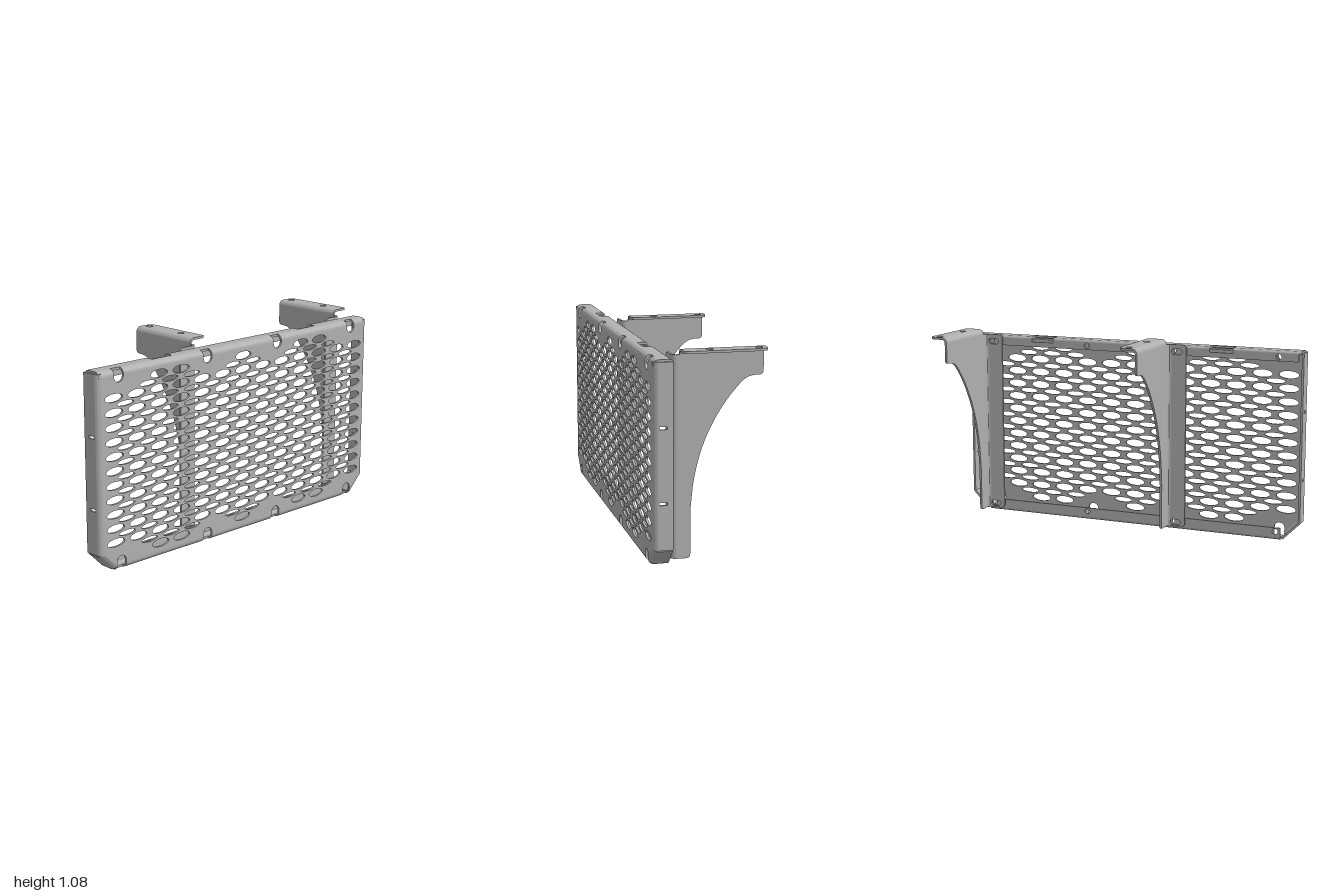
import * as THREE from 'three';
import { mergeGeometries, toCreasedNormals } from 'three/addons/utils/BufferGeometryUtils.js';

const T = 0.012; // sheet thickness
const SCREWS = [-0.86, -0.26, 0.26, 0.86];

function extrude(shape, depth) {
  return new THREE.ExtrudeGeometry(shape, { depth, bevelEnabled: false, curveSegments: 10 });
}

function rect(x0, y0, x1, y1) {
  return new THREE.Shape([[x0, y0], [x1, y0], [x1, y1], [x0, y1]].map(p => new THREE.Vector2(...p)));
}

// Rectangle with a rounding radius per corner: bottom left, bottom right, top right, top left
function roundRect(x0, y0, x1, y1, [a, b, c, d]) {
  const s = new THREE.Shape();
  s.moveTo(x0 + a, y0);
  s.lineTo(x1 - b, y0);
  s.quadraticCurveTo(x1, y0, x1, y0 + b);
  s.lineTo(x1, y1 - c);
  s.quadraticCurveTo(x1, y1, x1 - c, y1);
  s.lineTo(x0 + d, y1);
  s.quadraticCurveTo(x0, y1, x0, y1 - d);
  s.lineTo(x0, y0 + a);
  s.quadraticCurveTo(x0, y0, x0 + a, y0);
  return s;
}

// Quarter ring section of a sheet bend
function bend(cx, cy, r, a0) {
  const s = new THREE.Shape();
  s.absarc(cx, cy, r, a0, a0 + Math.PI / 2, false);
  s.absarc(cx, cy, r - T, a0 + Math.PI / 2, a0, true);
  s.closePath();
  return s;
}

function ellipse(x, y, rx, ry) {
  const p = new THREE.Path();
  p.absellipse(x, y, rx, ry, 0, Math.PI * 2, true);
  return p;
}

// Front sheet with screw notches and staggered oval perforation
function grilleGeometry() {
  const s = new THREE.Shape();
  s.moveTo(-0.97, 1.01);
  s.lineTo(-0.97, 0.112);
  s.lineTo(-0.888, 0.03);
  for (const x of SCREWS) {
    s.lineTo(x - 0.03, 0.03);
    s.absarc(x, 0.045, 0.03, Math.PI, 0, true);
    s.lineTo(x + 0.03, 0.03);
  }
  s.lineTo(0.888, 0.03);
  s.lineTo(0.97, 0.112);
  s.lineTo(0.97, 1.01);
  for (const x of [...SCREWS].reverse()) {
    s.lineTo(x + 0.03, 1.01);
    s.absarc(x, 1.003, 0.03, 0, Math.PI, true);
    s.lineTo(x - 0.03, 1.01);
  }
  s.closePath();
  const clear = (x, d) => SCREWS.every(sx => Math.abs(x - sx) > d);
  for (let r = -6; r <= 6; r++) for (let k = -6; k <= 6; k++) {
    const x = k * 0.149, y = 0.525 + r * 0.0747;
    if (Math.abs(r) < 6 || clear(x, 0.16)) s.holes.push(ellipse(x, y, 0.057, 0.021));
    const x2 = x + 0.0745, y2 = y + 0.0373;
    if (r < 6 && k < 6 && ((r > -6 && r < 5) || clear(x2, 0.1)))
      s.holes.push(ellipse(x2, y2, 0.054, 0.0135));
  }
  return extrude(s, T).translate(0, 0, 0.278);
}

// Folded border running along one edge; cuts are [from, to, zLow, zHigh] openings
function edgeGeometry(nx, ny, mx, my, length, cuts, lip) {
  const half = length / 2, parts = [];
  const add = (shape, a, b) => parts.push(extrude(shape, b - a).translate(0, 0, a));
  const stops = [-half, half, ...cuts.flatMap(c => [c[0], c[1]])].sort((a, b) => a - b);
  for (let i = 0; i < stops.length - 1; i++) {
    const a = stops[i], b = stops[i + 1], m = (a + b) / 2;
    const cut = cuts.find(c => m > c[0] && m < c[1]) || [0, 0, 9, 9];
    const open = z => z > cut[2] && z < cut[3];
    const start = lip ? 0.205 : 0.19;
    if (!open(0.275)) add(bend(-0.03, 0.26, 0.03, 0), a, b);
    if (lip && !open(0.197)) add(bend(-0.015, 0.205, 0.015, -Math.PI / 2), a, b);
    const low = Math.min(cut[2], 0.26), high = Math.max(cut[3], start);
    if (low > start) add(rect(-T, start, 0, low), a, b);
    if (high < 0.26) add(rect(-T, high, 0, 0.26), a, b);
  }
  const n = new THREE.Vector3(nx, ny, 0).normalize(), z = new THREE.Vector3(0, 0, 1);
  const m = new THREE.Matrix4().makeBasis(n, z, n.clone().cross(z)).setPosition(mx, my, 0);
  return mergeGeometries(parts).applyMatrix4(m);
}

// Rear lip with screw holes and shallow rebates at the rear openings
function lipGeometry(half, y0, y1, holeY, rebates) {
  const s = rect(-half, y0, half, y1);
  for (const x of SCREWS) s.holes.push(ellipse(x, holeY, 0.016, 0.016));
  for (const x of rebates) {
    const p = new THREE.Path();
    p.setFromPoints(rect(x - 0.067, y1 - 0.015, x + 0.067, y1 - 0.0005).getPoints().reverse());
    s.holes.push(p);
  }
  return extrude(s, T).translate(0, 0, 0.19);
}

// Angled support: mounting flange, curved web and top flange with sheet bends
function bracket(add) {
  const flange = roundRect(-0.345, 0.02, -0.26, 1.045, [0.025, 0, 0, 0.025]);
  for (const y of [0.045, 1.005]) {
    const p = new THREE.Path();
    p.absarc(-0.305, y, 0.016, Math.PI / 2, Math.PI * 1.5, false);
    p.absarc(-0.275, y, 0.016, -Math.PI / 2, Math.PI / 2, false);
    p.closePath();
    flange.holes.push(p);
  }
  add('mountingFlange', extrude(flange, T).translate(0, 0, 0.163));
  add('flangeBend', extrude(bend(-0.26, -0.145, 0.03, -Math.PI / 2), 1.025)
    .rotateX(-Math.PI / 2).translate(0, 0.02, 0));

  const web = new THREE.Shape();
  web.moveTo(-0.145, 1.045);
  web.lineTo(-0.145, 0.02);
  web.lineTo(-0.098, 0.02);
  web.quadraticCurveTo(-0.077, 0.02, -0.077, 0.04);
  web.lineTo(-0.077, 0.27);
  web.splineThru([[-0.062, 0.41], [-0.035, 0.53], [0, 0.63], [0.05, 0.73], [0.11, 0.82],
    [0.17, 0.89], [0.2, 0.915], [0.23, 0.927], [0.27, 0.93]].map(p => new THREE.Vector2(...p)));
  web.quadraticCurveTo(0.29, 0.932, 0.29, 0.95);
  web.lineTo(0.29, 1.045);
  web.closePath();
  add('web', extrude(web, T).rotateY(Math.PI / 2).translate(-0.242, 0, 0));

  add('topBend', extrude(bend(-0.212, 1.045, 0.03, Math.PI / 2), 0.425).translate(0, 0, -0.29));
  const top = roundRect(-0.212, -0.135, -0.133, 0.29, [0, 0.02, 0.045, 0]);
  for (const z of [0, 0.25]) top.holes.push(ellipse(-0.18, z, 0.018, 0.018));
  add('topFlange', extrude(top, T).rotateX(-Math.PI / 2).translate(0, 1.063, 0));
}

export function createModel() {
  const model = new THREE.Group();
  const steel = new THREE.MeshStandardMaterial({ color: 0xb0b0b0 });
  steel.name = 'grey sheet steel';
  const adder = parent => (name, geometry) => {
    const mesh = new THREE.Mesh(toCreasedNormals(geometry, 0.6), steel);
    mesh.name = name;
    parent.add(mesh);
  };

  // Perforated tray
  const tray = new THREE.Group();
  tray.name = 'perforatedTray';
  model.add(tray);
  const add = adder(tray);
  add('grille', grilleGeometry());
  const notches = SCREWS.map(x => [x - 0.03, x + 0.03, 0.26, 0.3]);
  const openings = [-0.537, 0.537].map(x => [x - 0.067, x + 0.067, 0.18, 0.245]);
  add('topEdge', edgeGeometry(0, 1, 0, 1.04, 1.97, [...notches, ...openings], true));
  add('topLip', lipGeometry(0.97, 0.982, 1.025, 1.005, [-0.537, 0.537]));
  add('bottomEdge', edgeGeometry(0, -1, 0, 0, 1.78, notches, true));
  add('bottomLip', lipGeometry(0.89, 0.015, 0.066, 0.045, []));
  for (const s of [-1, 1]) {
    const side = s > 0 ? 'left' : 'right';
    const slots = [0.145, -0.23].map(o => [-s * o - 0.007, -s * o + 0.007, 0.22, 0.26]);
    add(side + 'Edge', edgeGeometry(s, 0, s, 0.565, 0.93, slots, false));
    add(side + 'CornerEdge', edgeGeometry(s, -1, s * 0.95, 0.05, 0.125, [], false));
  }

  // Two identical support brackets
  [0, 1.128].forEach((x, i) => {
    const g = new THREE.Group();
    g.name = i ? 'leftBracket' : 'rightBracket';
    g.position.x = x;
    bracket(adder(g));
    model.add(g);
  });
  return model;
}
